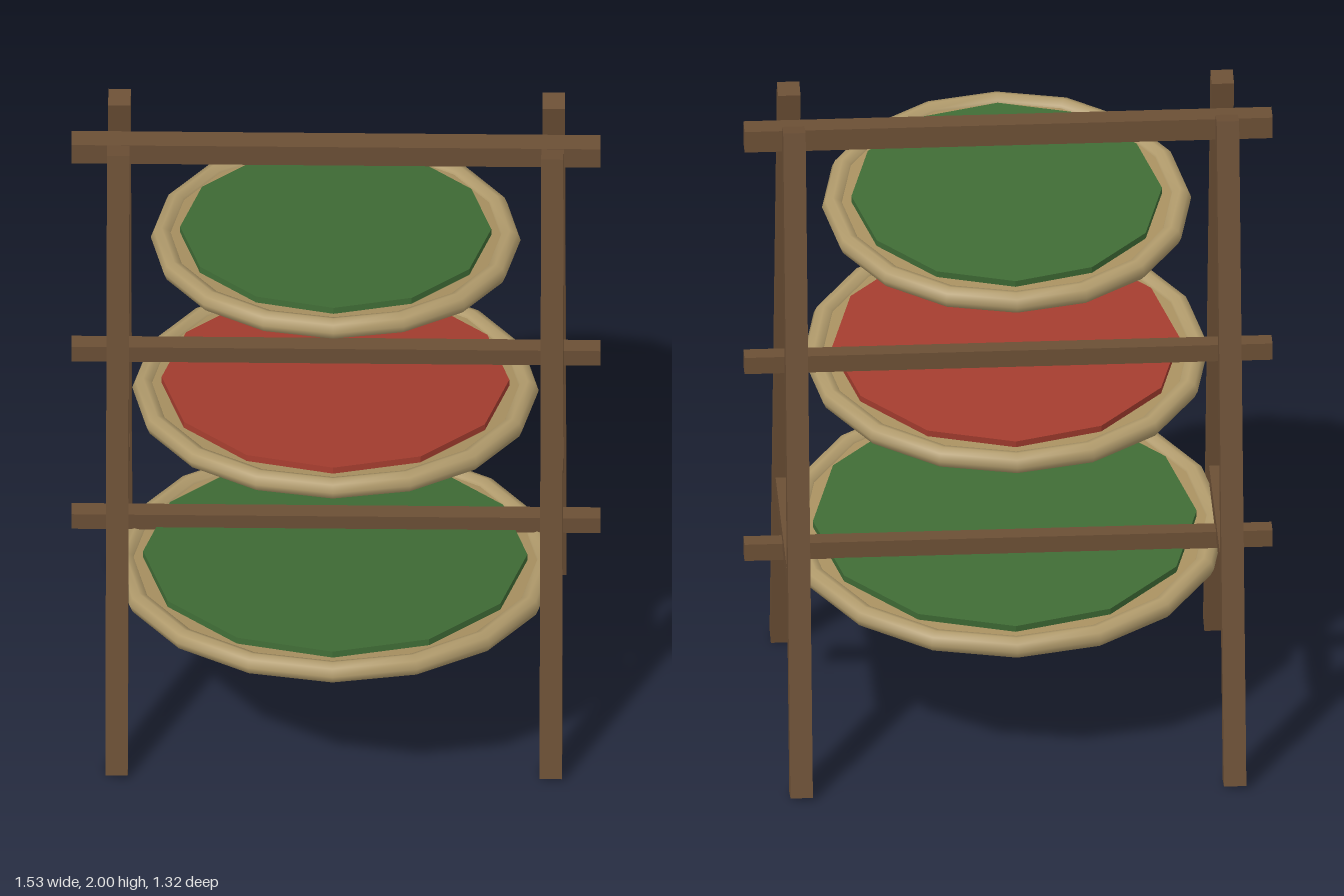
import * as THREE from 'three';

const mat = (color, flatShading = true) =>
  new THREE.MeshStandardMaterial({ color, flatShading });

export function createModel() {
  const wood = mat(0x6b4f35);
  const wicker = mat(0xb09a6b, false);
  const wickerFlat = mat(0xa89060);
  const green = mat(0x3f6b35);
  const red = mat(0xa33c2e);

  const model = new THREE.Group();
  model.name = 'tieredTrayRack';

  function add(parent, name, geometry, material, x, y, z) {
    const mesh = new THREE.Mesh(geometry, material);
    mesh.name = name;
    mesh.position.set(x, y, z);
    parent.add(mesh);
    return mesh;
  }

  // Two leaning leg pairs, each tied by a low side rail
  const legX = 0.628, lean = 0.18;
  const leg = new THREE.BoxGeometry(0.065, 2.021, 0.065);
  const rail = new THREE.BoxGeometry(0.053, 0.053, 0.64);
  for (const [side, s] of [['left', 1], ['right', -1]]) {
    add(model, side + 'FrontLeg', leg, wood, s * legX, 1, 0.165).rotation.x = -lean;
    add(model, side + 'BackLeg', leg, wood, s * legX, 1, -0.45).rotation.x = lean;
    add(model, side + 'SideRail', rail, wood, s * legX, 0.587, -0.14);
  }

  // Crossbars spanning the frame
  for (const [name, y, size] of [
    ['topBar', 1.908, 0.067], ['middleBar', 1.17, 0.053], ['lowerBar', 0.557, 0.053],
  ]) add(model, name, new THREE.BoxGeometry(1.53, size, size), wood, 0, y, -0.143);

  // Round trays tipped up at the front: woven rim, base and a layer of produce
  for (const [name, y, z, r, filling] of [
    ['lowerTray', 0.519, 0.022, 0.609, green],
    ['middleTray', 1.118, -0.03, 0.556, red],
    ['upperTray', 1.634, -0.075, 0.503, green],
  ]) {
    const tray = new THREE.Group();
    tray.name = name;
    tray.position.set(0, y, z);
    tray.rotation.x = -0.12;
    add(tray, 'rim', new THREE.TorusGeometry(r, 0.032, 8, 16), wicker, 0, 0, 0).rotation.x = Math.PI / 2;
    add(tray, 'base', new THREE.CylinderGeometry(r, r, 0.032, 16), wickerFlat, 0, 0, 0);
    add(tray, 'filling', new THREE.CylinderGeometry(r - 0.053, r - 0.053, 0.027, 12), filling, 0, 0.0225, 0);
    model.add(tray);
  }

  return model;
}
